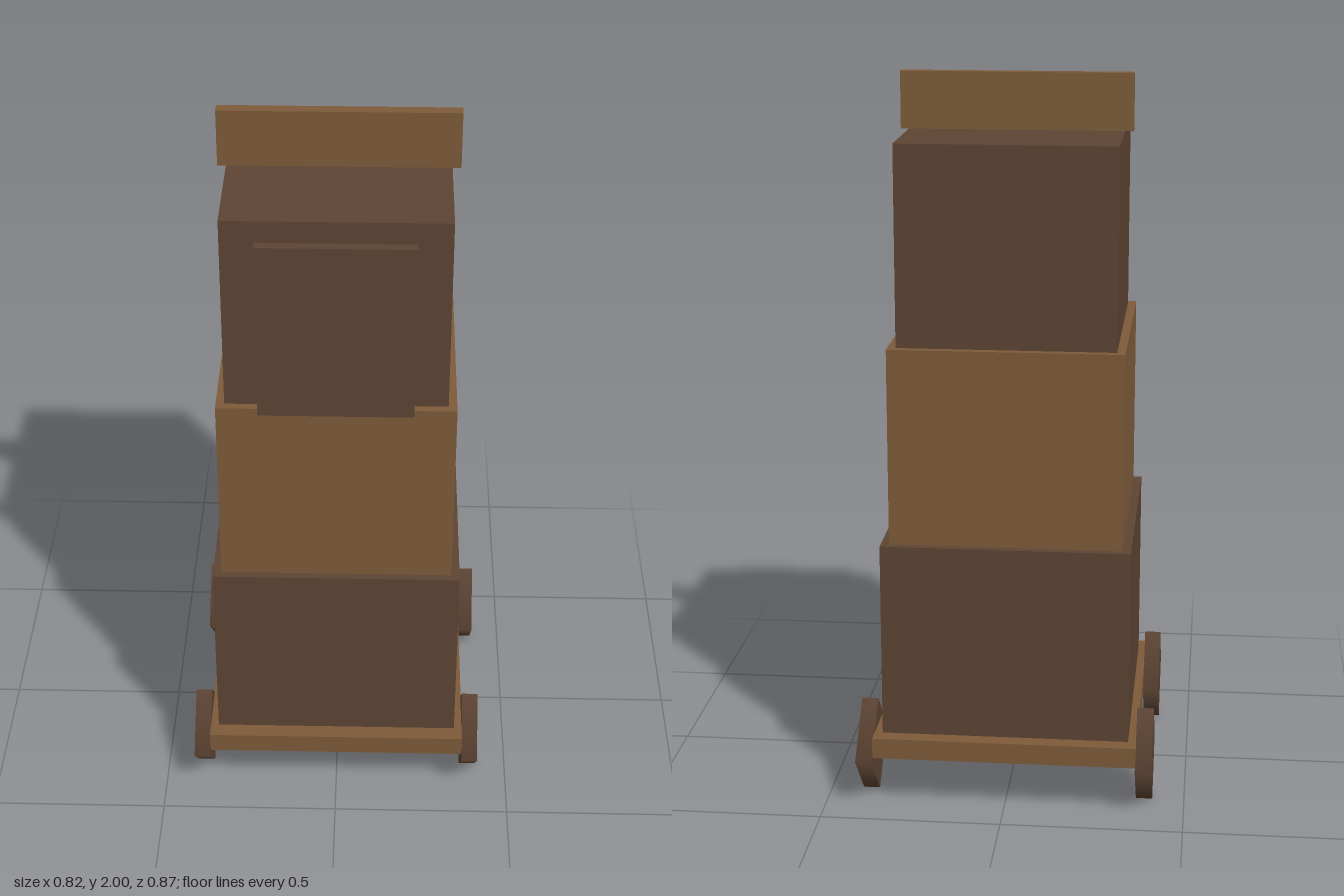
import * as THREE from 'three';

export function createModel() {
  const model = new THREE.Group();
  model.name = 'siegeTower';

  const darkWood = new THREE.MeshStandardMaterial({ color: 0x5e4534 });
  darkWood.name = 'dark wood';
  const lightWood = new THREE.MeshStandardMaterial({ color: 0x7e5c3a });
  lightWood.name = 'light wood';

  // Box given by its width, depth, bottom, top and z centre
  function addBox(name, material, width, depth, bottom, top, z = 0) {
    const mesh = new THREE.Mesh(new THREE.BoxGeometry(width, top - bottom, depth), material);
    mesh.name = name;
    mesh.position.set(0, (bottom + top) / 2, z);
    model.add(mesh);
  }

  // Platform and three stepped storeys
  addBox('platform', lightWood, 0.732, 0.822, 0.142, 0.2);
  addBox('lowerStorey', darkWood, 0.686, 0.73, 0.2, 0.748);
  addBox('middleStorey', lightWood, 0.64, 0.686, 0.748, 1.295);
  addBox('upperStorey', darkWood, 0.594, 0.64, 1.295, 1.843);

  // Parapet across the roof and raised drawbridge in front
  addBox('parapet', lightWood, 0.64, 0.034, 1.843, 2);
  addBox('drawbridge', darkWood, 0.412, 0.027, 1.298, 1.8, 0.3655);

  // Four-sided wheels standing on their corners, with smooth rims
  const wheelGeometry = new THREE.CylinderGeometry(0.137, 0.137, 0.046, 4);
  wheelGeometry.rotateZ(Math.PI / 2);
  for (const x of [-1, 1]) {
    for (const z of [-1, 1]) {
      const wheel = new THREE.Mesh(wheelGeometry, darkWood);
      wheel.name = (z > 0 ? 'front' : 'back') + (x > 0 ? 'Left' : 'Right') + 'Wheel';
      wheel.position.set(x * 0.388, 0.137, z * 0.297);
      model.add(wheel);
    }
  }

  return model;
}
